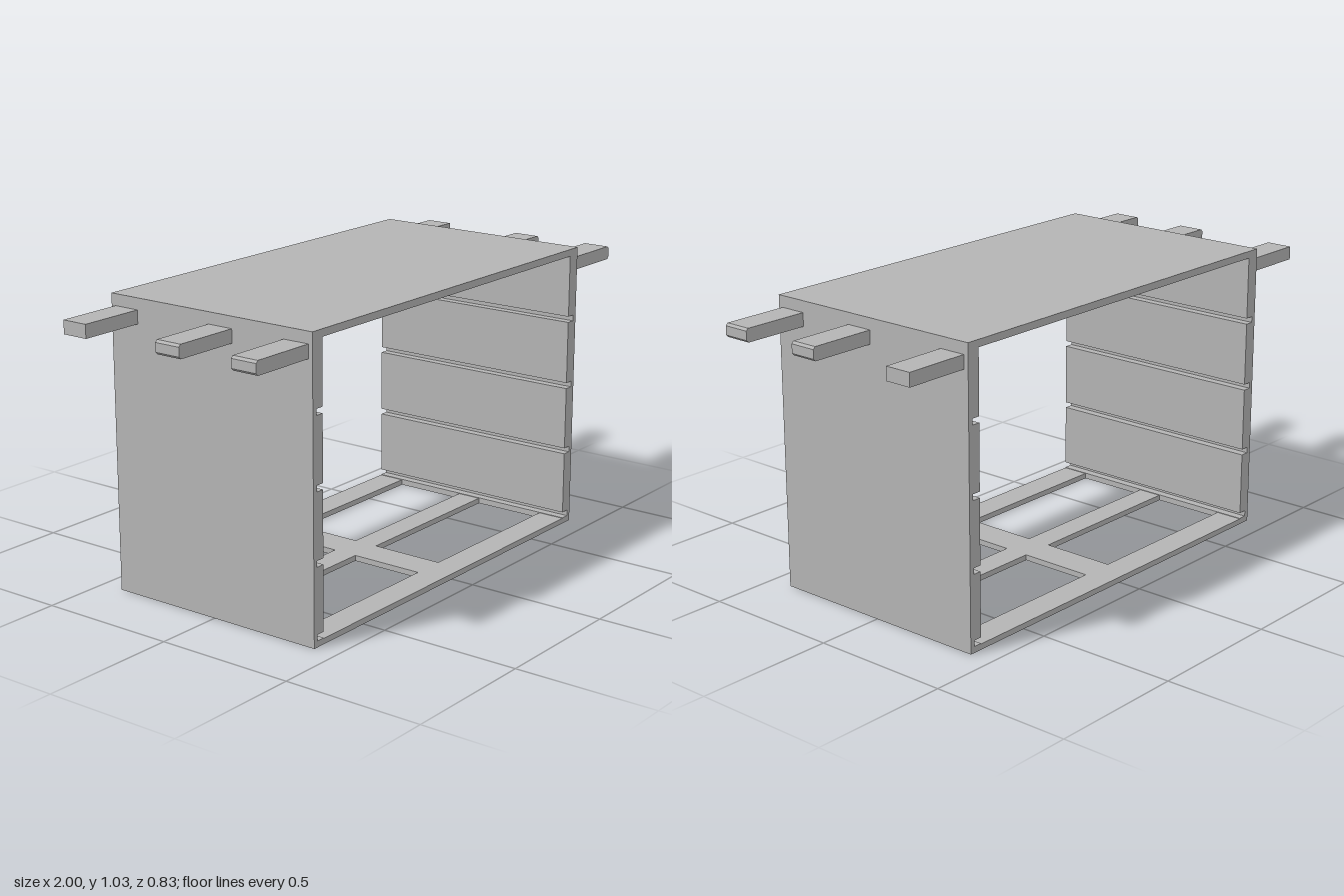
import * as THREE from 'three';

const WIDTH = 1.512, HEIGHT = 1.028, DEPTH = 0.83;
const FLOOR = 0.02, ROOF = 0.025;

// Closed outline from corner points
function outline(points, Type = THREE.Shape) {
  return new Type(points.map(([x, y]) => new THREE.Vector2(x, y)));
}

function rectangle(x0, y0, x1, y1, Type) {
  return outline([[x0, y0], [x1, y0], [x1, y1], [x0, y1]], Type);
}

export function createModel() {
  const model = new THREE.Group();
  model.name = 'slottedCabinet';
  const grey = new THREE.MeshStandardMaterial({ color: 0xb4b4b4 });
  grey.name = 'plainGrey';

  const add = (name, geometry, x = 0, y = 0, z = 0) => {
    const mesh = new THREE.Mesh(geometry, grey);
    mesh.name = name;
    mesh.position.set(x, y, z);
    model.add(mesh);
    return mesh;
  };
  const extrude = (shape, depth) =>
    new THREE.ExtrudeGeometry(shape, { depth, bevelEnabled: false });

  // Roof panel
  add('roof', new THREE.BoxGeometry(WIDTH, ROOF, DEPTH), 0, HEIGHT - ROOF / 2, 0);

  // Floor frame with four openings
  const floor = rectangle(-WIDTH / 2, -DEPTH / 2, WIDTH / 2, DEPTH / 2);
  for (const [x0, x1] of [[-0.71, -0.06], [0.06, 0.71]]) {
    for (const [z0, z1] of [[-0.315, -0.045], [0.045, 0.315]]) {
      floor.holes.push(rectangle(x0, z0, x1, z1, THREE.Path));
    }
  }
  add('floorFrame', extrude(floor, FLOOR).rotateX(-Math.PI / 2));

  // Side walls, with shelf grooves cut along the whole inner face
  const inner = 0.708, grooveBottom = 0.739;
  const grooves = [0.022, 0.269, 0.516, 0.762];
  const top = HEIGHT - ROOF;
  for (const side of [1, -1]) {
    const points = [[side * WIDTH / 2, top], [side * WIDTH / 2, FLOOR], [side * inner, FLOOR]];
    for (const y of grooves) {
      points.push(
        [side * inner, y], [side * grooveBottom, y],
        [side * grooveBottom, y + 0.021], [side * inner, y + 0.021]
      );
    }
    points.push([side * inner, top]);
    add(side > 0 ? 'leftWall' : 'rightWall', extrude(outline(points), DEPTH), 0, 0, -DEPTH / 2);
  }

  // Carrying bars: the front two have chamfered tips, the rear one is square
  const low = 0.941, high = 0.988, root = WIDTH / 2;
  const bars = [
    ['frontBar', 0.303, 1, 0.008],
    ['middleBar', 0, 1, 0.008],
    ['rearBar', -0.398, 0.992, 0]
  ];
  for (const side of [1, -1]) {
    for (const [name, z, tip, cut] of bars) {
      const points = cut
        ? [[root, low], [tip - cut, low], [tip, low + cut], [tip, high - cut], [tip - cut, high], [root, high]]
        : [[root, low], [tip, low], [tip, high], [root, high]];
      const shape = outline(points.map(([x, y]) => [side * x, y]));
      add((side > 0 ? 'left' : 'right') + name[0].toUpperCase() + name.slice(1), extrude(shape, 0.096), 0, 0, z);
    }
  }
  return model;
}
